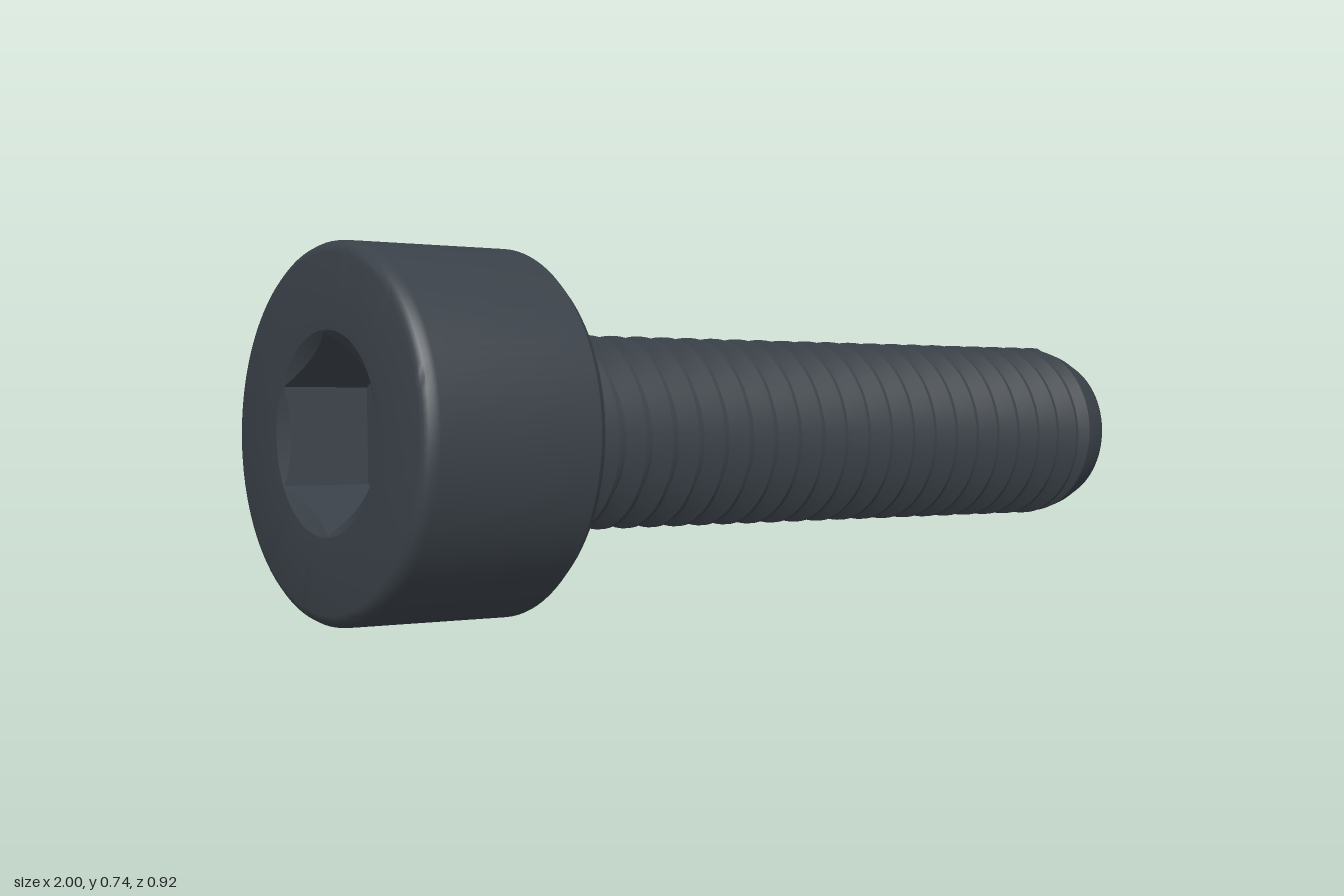
import * as THREE from 'three';
import { toCreasedNormals } from 'three/addons/utils/BufferGeometryUtils.js';

const COLS = 96;
const TAU = Math.PI * 2;

// Surface around the local y axis: at(row, angle) returns [radius, distance along the axis]
function turned(rows, at) {
  const pos = [], index = [], w = COLS + 1;
  for (let k = 0; k < rows; k++) {
    for (let j = 0; j <= COLS; j++) {
      const a = (j / COLS) * TAU;
      const [r, t] = at(k, a);
      pos.push(r * Math.sin(a), t, r * Math.cos(a));
      if (k < rows - 1 && j < COLS) {
        const i = k * w + j;
        index.push(i, i + 1, i + w, i + 1, i + w + 1, i + w);
      }
    }
  }
  const geo = new THREE.BufferGeometry();
  geo.setAttribute('position', new THREE.Float32BufferAttribute(pos, 3));
  geo.setIndex(index);
  return toCreasedNormals(geo, 0.45);
}

const turnedProfile = (points) => turned(points.length, (k) => points[k]);

export function createModel() {
  const steel = new THREE.MeshStandardMaterial({ color: 0x3a4148 });
  steel.name = 'dark steel';
  const model = new THREE.Group();
  model.name = 'socketHeadScrew';
  const screw = new THREE.Group();
  screw.name = 'screw';
  model.add(screw);

  const add = (name, geo) => {
    const mesh = new THREE.Mesh(geo, steel);
    mesh.name = name;
    screw.add(mesh);
  };

  const headLength = 0.387, length = 1.937;
  const root = 0.157, crest = 0.194;

  // Hex socket with a conical countersink cutting its corners
  const flat = 0.162, mouth = 0.19, depth = 0.18;
  const hex = (a) => flat / Math.cos((a % (Math.PI / 3)) - Math.PI / 6);
  add('hexSocket', turned(4, (k, a) => [
    [0, depth],
    [hex(a), depth],
    [hex(a), (mouth - hex(a)) * 0.58],
    [mouth, 0],
  ][k]));

  // Cylindrical head with softened edges
  add('head', turnedProfile([
    [mouth, 0], [0.332, 0], [0.341, 0.003], [0.349, 0.01], [0.354, 0.02], [0.355, 0.03],
    [0.355, headLength - 0.02], [0.338, headLength], [0.2, headLength],
  ]));

  // Fillet and plain neck under the head
  const threadStart = 0.43, threadEnd = 1.865;
  add('neck', turnedProfile([
    [0.2, headLength], [0.182, headLength + 0.003], [0.168, headLength + 0.011],
    [0.16, headLength + 0.023], [root, threadStart],
  ]));

  // Right-handed helical thread, rows follow the helix
  const pitch = 0.0645;
  const tooth = [[0, root], [0.2, root], [0.54, crest], [0.66, crest]];
  const turns = Math.ceil((threadEnd - threadStart) / pitch) + 2;
  add('thread', turned(turns * tooth.length, (k, a) => {
    const [f, r] = tooth[k % tooth.length];
    const t = threadStart + pitch * (Math.floor(k / tooth.length) - 1 + f + a / TAU);
    if (t <= threadStart) return [root, threadStart];
    if (t >= threadEnd) return [0.19, threadEnd];
    // Fade the thread in from the neck
    return [Math.min(r, root + (t - threadStart) * 1.2), t];
  }));

  // Chamfered tip
  add('tip', turnedProfile([
    [root, threadEnd - 0.02], [0.19, threadEnd], [0.181, threadEnd + 0.035],
    [0.165, length], [0, length],
  ]));

  // Lay the screw along its slanted axis, a socket corner pointing along local z
  const axis = new THREE.Vector3(0.972, -0.1085, 0.209).normalize();
  const corner = new THREE.Vector3(-0.234, -0.34, 0.91);
  corner.addScaledVector(axis, -corner.dot(axis)).normalize();
  const side = new THREE.Vector3().crossVectors(axis, corner);
  screw.quaternion.setFromRotationMatrix(new THREE.Matrix4().makeBasis(side, axis, corner));
  screw.position.set(-0.923, 0.396, -0.12);
  return model;
}
